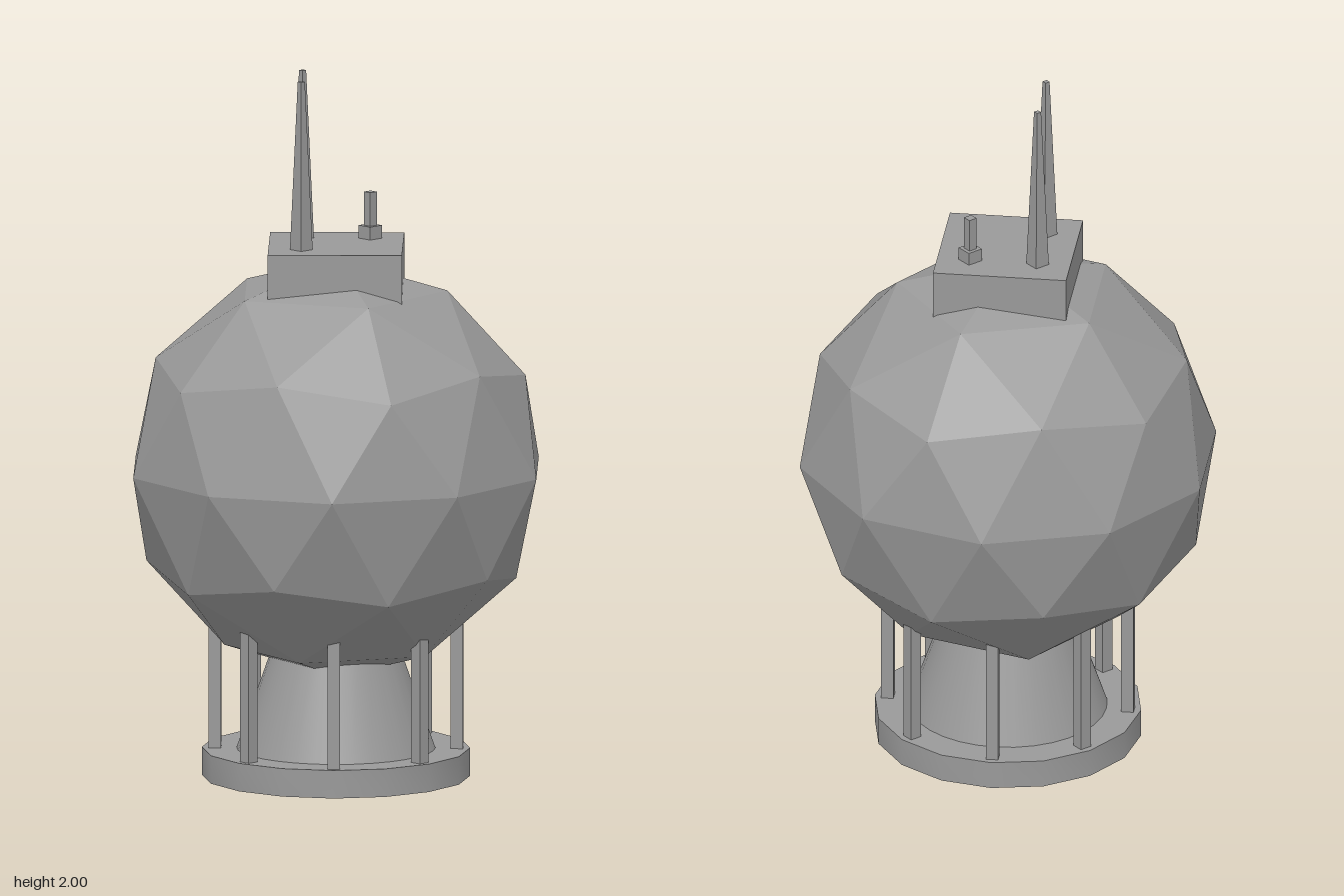
import * as THREE from 'three';
import { toCreasedNormals } from 'three/addons/utils/BufferGeometryUtils.js';

export function createModel() {
  const model = new THREE.Group();
  const color = 0x999999;
  const smooth = new THREE.MeshStandardMaterial({ color });
  const flat = new THREE.MeshStandardMaterial({ color, flatShading: true });
  const open = new THREE.MeshStandardMaterial({ color, side: THREE.DoubleSide });

  const add = (name, geometry, material, x = 0, y = 0, z = 0, parent = model) => {
    const mesh = new THREE.Mesh(geometry, material);
    mesh.name = name;
    mesh.position.set(x, y, z);
    parent.add(mesh);
    return mesh;
  };

  // Base ring: 16-sided rim with a round hole
  const rim = new THREE.Shape();
  for (let i = 0; i < 16; i++) {
    const a = (i / 16) * Math.PI * 2;
    rim[i ? 'lineTo' : 'moveTo'](0.378 * Math.cos(a), 0.378 * Math.sin(a));
  }
  rim.closePath();
  rim.holes.push(new THREE.Path().absarc(0, 0, 0.28, 0, Math.PI * 2, true));
  const ring = new THREE.ExtrudeGeometry(rim, { depth: 0.08, bevelEnabled: false, curveSegments: 16 });
  ring.rotateX(-Math.PI / 2);
  add('baseRing', toCreasedNormals(ring, 0.6), smooth);

  // Hollow tapered neck between ring and sphere
  add('neck', new THREE.CylinderGeometry(0.175, 0.28, 0.3, 32, 1, true), open, 0, 0.23, 0);

  // Eight square posts facing outward, ending inside the sphere
  const posts = new THREE.Group();
  posts.name = 'supportPosts';
  model.add(posts);
  const postGeometry = new THREE.BoxGeometry(0.035, 0.41, 0.035);
  for (let i = 0; i < 8; i++) {
    const a = (i * Math.PI) / 4;
    const post = add('supportPost', postGeometry, flat,
      0.341 * Math.sin(a), 0.275, 0.341 * Math.cos(a), posts);
    post.rotation.y = a;
  }

  // Faceted sphere, turned so that one corner points straight up
  const sphere = new THREE.IcosahedronGeometry(0.597, 1);
  sphere.rotateZ(-Math.atan(2 / (1 + Math.sqrt(5))));
  add('sphereBody', sphere, flat, 0, 0.88, 0);

  // Square roof block
  add('roofBlock', new THREE.BoxGeometry(0.378, 0.19, 0.378), flat, 0, 1.425, 0);

  // Two tall tapered antennas and one short stepped one, all four-sided
  const spike = (name, top, bottom, y0, y1, x, z) =>
    add(name, new THREE.CylinderGeometry(top, bottom, y1 - y0, 4), flat, x, (y0 + y1) / 2, z);
  for (const z of [-0.095, 0.095]) spike('tallAntenna', 0.01, 0.032, 1.52, 2, -0.096, z);
  spike('shortAntennaBase', 0.033, 0.033, 1.52, 1.557, 0.095, -0.095);
  spike('shortAntennaStem', 0.018, 0.018, 1.557, 1.653, 0.095, -0.095);

  return model;
}
